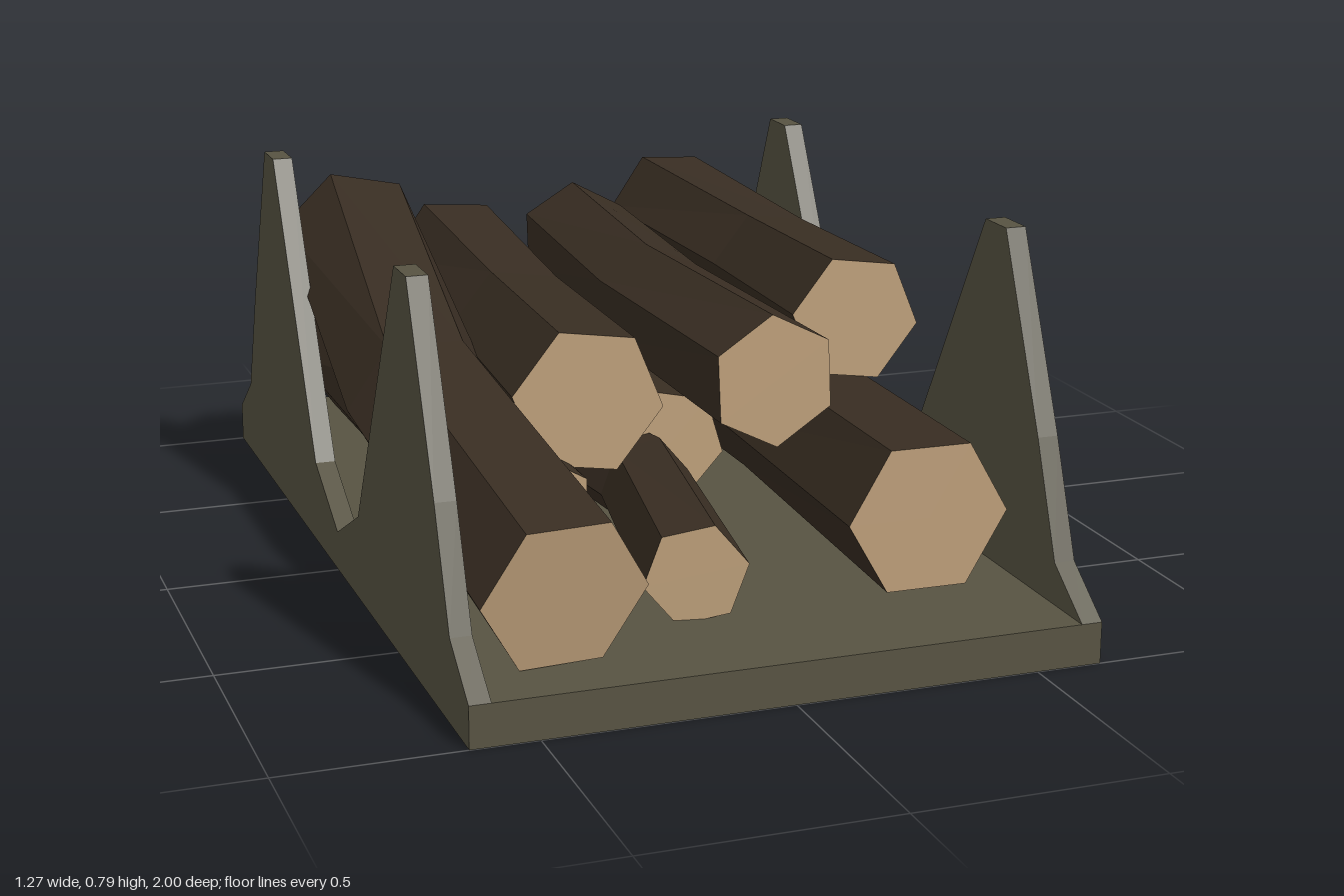
import * as THREE from 'three';

const deckMat = new THREE.MeshStandardMaterial({ color: 0x575342, flatShading: true });
deckMat.name = 'weathered olive';
const barkMat = new THREE.MeshStandardMaterial({ color: 0x382d22, flatShading: true });
barkMat.name = 'dark bark';
const cutMat = new THREE.MeshStandardMaterial({ color: 0xbd9f7a, flatShading: true });
cutMat.name = 'cut wood';

const SIDES = 6;

// Bent six-sided log. Each section is [x, y, z, radius, phase in degrees], front to back.
function makeLog(name, sections) {
  const centres = sections.map(s => new THREE.Vector3(s[0], s[1], s[2]));
  const rings = sections.map((s, i) => {
    const a = centres[Math.max(i - 1, 0)];
    const b = centres[Math.min(i + 1, centres.length - 1)];
    const n = a.clone().sub(b).normalize();
    const u = new THREE.Vector3(1, 0, 0).addScaledVector(n, -n.x).normalize();
    const v = n.clone().cross(u);
    return Array.from({ length: SIDES }, (_, k) => {
      const t = THREE.MathUtils.degToRad(s[4] + k * 360 / SIDES);
      return centres[i].clone()
        .addScaledVector(u, s[3] * Math.cos(t))
        .addScaledVector(v, s[3] * Math.sin(t));
    });
  });
  const bark = [], ends = [];
  const last = rings.length - 1;
  for (let k = 0; k < SIDES; k++) {
    const j = (k + 1) % SIDES;
    for (let i = 0; i < last; i++) {
      const f = rings[i], b = rings[i + 1];
      bark.push(f[k], b[k], b[j], f[k], b[j], f[j]);
    }
    ends.push(centres[0], rings[0][k], rings[0][j]);
    ends.push(centres[last], rings[last][j], rings[last][k]);
  }
  const log = new THREE.Group();
  log.name = name;
  for (const [part, points, mat] of [['bark', bark, barkMat], ['cutEnds', ends, cutMat]]) {
    const geo = new THREE.BufferGeometry().setFromPoints(points);
    geo.computeVertexNormals();
    const mesh = new THREE.Mesh(geo, mat);
    mesh.name = part;
    log.add(mesh);
  }
  return log;
}

export function createModel() {
  const model = new THREE.Group();
  model.name = 'logRack';

  // Flat bed
  const base = new THREE.Mesh(new THREE.BoxGeometry(1.27, 0.085, 2), deckMat);
  base.name = 'base';
  base.position.y = 0.0425;
  model.add(base);

  // Twin-peaked side walls, profile mirrored front to back
  const half = [[1, 0.085], [0.88, 0.17], [0.79, 0.4], [0.62, 0.785], [0.53, 0.785], [0.19, 0.18], [0, 0.085]];
  const outline = [...half, ...half.slice(0, -1).reverse().map(([z, y]) => [-z, y])];
  const shape = new THREE.Shape(outline.map(([z, y]) => new THREE.Vector2(z, y)));
  const wallGeo = new THREE.ExtrudeGeometry(shape, { depth: 0.043, bevelEnabled: false });
  wallGeo.translate(0, 0, -0.0215).rotateY(-Math.PI / 2);
  for (const [name, x] of [['leftWall', 0.6135], ['rightWall', -0.6135]]) {
    const wall = new THREE.Mesh(wallGeo, deckMat);
    wall.name = name;
    wall.position.x = x;
    model.add(wall);
  }

  // Stacked logs
  const logs = {
    slantedRightLog: [[-0.42, 0.23, 0.9, 0.166, 0], [-0.47, 0.38, 0.1, 0.16, 0], [-0.42, 0.56, -0.7, 0.165, -11]],
    upperMiddleRightLog: [[-0.19, 0.425, 0.345, 0.16, -8], [-0.16, 0.42, -0.25, 0.15, -8], [-0.13, 0.44, -0.88, 0.155, -4]],
    upperMiddleLog: [[0.14, 0.487, 0.53, 0.138, 33], [0.12, 0.49, -0.15, 0.13, 35], [0.15, 0.495, -0.78, 0.135, 32]],
    upperLeftLog: [[0.445, 0.515, 0.23, 0.143, -8], [0.46, 0.505, -0.3, 0.135, -8], [0.44, 0.52, -0.935, 0.142, -4]],
    lowerLeftLog: [[0.39, 0.237, 0.73, 0.17, 0], [0.4, 0.245, -0.1, 0.16, 3], [0.39, 0.245, -0.95, 0.168, 8]],
    lowerMiddleLog: [[0.075, 0.235, 0.1, 0.127, -13], [0.06, 0.235, -0.35, 0.13, -10], [0.1, 0.24, -0.87, 0.13, -5]],
    thinLog: [[-0.1, 0.175, 0.73, 0.106, 10], [0.0, 0.175, 0.15, 0.1, 10], [-0.14, 0.155, -0.94, 0.065, 20]],
    lowerRightLog: [[-0.335, 0.22, 0.42, 0.135, 30], [-0.35, 0.23, -0.25, 0.145, 20], [-0.36, 0.24, -0.9, 0.16, 5]],
  };
  for (const [name, sections] of Object.entries(logs)) model.add(makeLog(name, sections));

  return model;
}
